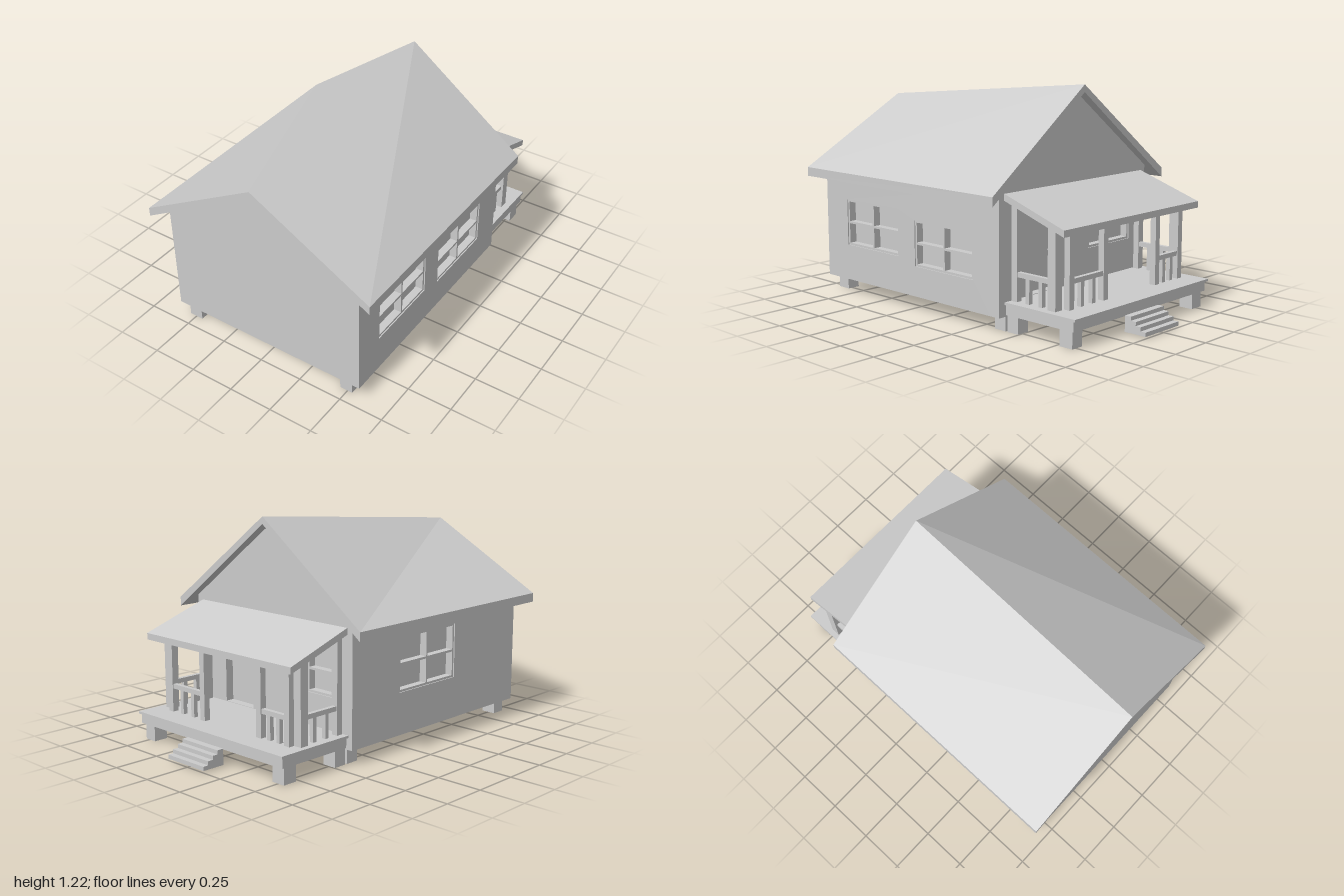
import * as THREE from 'three';

const mat = new THREE.MeshStandardMaterial({ color: 0xcccccc, flatShading: true });
const WALL = 0.06;      // wall thickness
const SIDE = 0.585;     // half width of the house
const FRONT = 0.95, BACK = 0.42;

function add(parent, name, geometry) {
  const mesh = new THREE.Mesh(geometry, mat);
  mesh.name = name;
  parent.add(mesh);
  return mesh;
}

// Box given by its limits on each axis
function box(parent, name, [x0, x1], [y0, y1], [z0, z1]) {
  const g = new THREE.BoxGeometry(x1 - x0, y1 - y0, z1 - z0);
  g.translate((x0 + x1) / 2, (y0 + y1) / 2, (z0 + z1) / 2);
  return add(parent, name, g);
}

const outline = (pts) => new THREE.Shape(pts.map(([x, y]) => new THREE.Vector2(x, y)));

function extrude(pts, depth, holes = []) {
  const shape = outline(pts);
  shape.holes = holes.map((h) => outline(h));
  return new THREE.ExtrudeGeometry(shape, { depth, bevelEnabled: false });
}

// Profile drawn as (-z, y), swept across x from x0 to x1
function sweepX(pts, x0, x1) {
  return extrude(pts, x1 - x0).rotateY(Math.PI / 2).translate(x0, 0, 0);
}

// Wall facing outward at a given angle, with recessed windows and doors
function wall(parent, name, pts, openings, angle, dist) {
  const group = new THREE.Group();
  group.name = name;
  const holes = openings.map(({ u: [a, b], y: [c, d] }) => [[a, c], [a, d], [b, d], [b, c]]);
  add(group, 'wallPanel', extrude(pts, WALL, holes).translate(0, 0, dist - WALL));

  for (const { u, y, door } of openings) {
    const [a, b] = u, [c, d] = y, w = 0.012;
    const inner = [dist - WALL, dist - WALL + 0.012];
    const bar = [dist - WALL + 0.012, dist - 0.006];
    box(group, door ? 'doorPanel' : 'windowPane', u, y, inner);
    if (door) {
      add(group, 'doorKnob', new THREE.SphereGeometry(0.01, 8, 6))
        .position.set(b - 0.03, (c + d) / 2, inner[1] + 0.008);
      continue;
    }
    const mu = (a + b) / 2, my = (c + d) / 2;
    for (const x of [a + w / 2, mu, b - w / 2]) box(group, 'windowUpright', [x - w / 2, x + w / 2], y, bar);
    for (const v of [c + w / 2, my, d - w / 2]) box(group, 'windowCrossbar', u, [v - w / 2, v + w / 2], bar);
  }
  group.rotation.y = angle;
  parent.add(group);
}

const gable = (eave, apex) => [[-SIDE, 0.08], [SIDE, 0.08], [SIDE, eave], [0, apex], [-SIDE, eave]];
const rect = (a, b, c, d) => [[a, c], [b, c], [b, d], [a, d]];

function buildHouse(parent) {
  const zF = FRONT - WALL, zB = BACK - WALL;
  wall(parent, 'frontWall', gable(0.718, 1.055), [], 0, FRONT);
  wall(parent, 'backWall', gable(0.732, 1.168), [
    { u: [0.1, 0.45], y: [0.33, 0.58] },
    { u: [-0.36, -0.14], y: [0.158, 0.56], door: true },
  ], Math.PI, BACK);
  wall(parent, 'leftWall', rect(-zF, zB, 0.08, 0.725), [
    { u: [-0.77, -0.335], y: [0.28, 0.54] },
    { u: [-0.205, 0.235], y: [0.245, 0.495] },
  ], Math.PI / 2, SIDE);
  wall(parent, 'rightWall', rect(-zB, zF, 0.08, 0.725), [
    { u: [-0.06, 0.4], y: [0.31, 0.61] },
  ], -Math.PI / 2, SIDE);
  box(parent, 'floor', [-SIDE + WALL, SIDE - WALL], [0.08, 0.11], [-zB, zF]);

  // Gable roof whose ridge climbs towards the back
  const roof = extrude([[-0.68, 0.66], [0, 1.05], [0.68, 0.66], [0.68, 0.71], [0, 1.09], [-0.68, 0.71]], 1.47);
  roof.translate(0, 0, -0.47);
  const p = roof.attributes.position;
  for (let i = 0; i < p.count; i++) {
    const back = (1 - p.getZ(i)) / 1.47;
    p.setY(i, p.getY(i) + 0.125 * back * (1 - Math.abs(p.getX(i)) / 0.68));
  }
  roof.computeVertexNormals();
  add(parent, 'roof', roof);
}

function buildPorch(parent) {
  // Deck with a slightly wider floor board layer
  box(parent, 'deckFrame', [-0.55, 0.54], [0.09, 0.143], [-0.868, -0.425]);
  box(parent, 'deckFloor', [-0.56, 0.547], [0.143, 0.156], [-0.882, -0.421]);

  // Lean-to roof
  add(parent, 'porchRoof', sweepX([[0.42, 0.705], [0.42, 0.67], [0.81, 0.54], [0.81, 0.575]], -0.55, 0.547));

  const roofUnder = (z) => 0.68 + (z + 0.42) / 3;
  const post = (x, z, w) => box(parent, 'porchPost', [x - w / 2, x + w / 2], [0.15, roofUnder(z)], [z - w / 2, z + w / 2]);

  // Railing between two points with evenly spaced balusters
  const railing = (x0, z0, x1, z1) => {
    const t = 0.012;
    box(parent, 'handrail', [Math.min(x0, x1) - t, Math.max(x0, x1) + t], [0.283, 0.308],
      [Math.min(z0, z1) - t, Math.max(z0, z1) + t]);
    for (const f of [1 / 3, 2 / 3]) {
      const x = x0 + (x1 - x0) * f, z = z0 + (z1 - z0) * f;
      box(parent, 'baluster', [x - t, x + t], [0.15, 0.29], [z - t, z + t]);
    }
  };

  for (const [corner, edge, inner] of [[0.485, 0.425, 0.165], [-0.505, -0.465, -0.265]]) {
    post(corner, -0.445, 0.035);
    post(corner, -0.7, 0.05);
    post(edge, -0.74, 0.035);
    post(inner, -0.74, 0.035);
    railing(corner, -0.445, corner, -0.7);
    railing(edge, -0.74, inner, -0.74);
  }

  // Solid flight of four steps
  const profile = [[0.87, 0.01], [1, 0.01]];
  for (let i = 0; i < 4; i++) {
    const y = 0.032 + i * 0.021;
    profile.push([1 - i * 0.031, y], [1 - (i + 1) * 0.031, y]);
  }
  profile.push([0.87, 0.095]);
  add(parent, 'steps', sweepX(profile, -0.125, 0.15));
}

function buildPiers(parent) {
  const rows = [[0.85, 0.93, 0.08], [-0.41, -0.335, 0.08], [-0.495, -0.423, 0.09], [-0.85, -0.77, 0.09]];
  for (const [z0, z1, top] of rows) {
    for (const x of [[-0.54, -0.46], [0.455, 0.528]]) box(parent, 'pier', x, [0, top], [z0, z1]);
  }
}

export function createModel() {
  const model = new THREE.Group();
  model.name = 'cabin';
  const parts = { house: buildHouse, porch: buildPorch, piers: buildPiers };
  for (const [name, build] of Object.entries(parts)) {
    const group = new THREE.Group();
    group.name = name;
    build(group);
    model.add(group);
  }
  return model;
}
